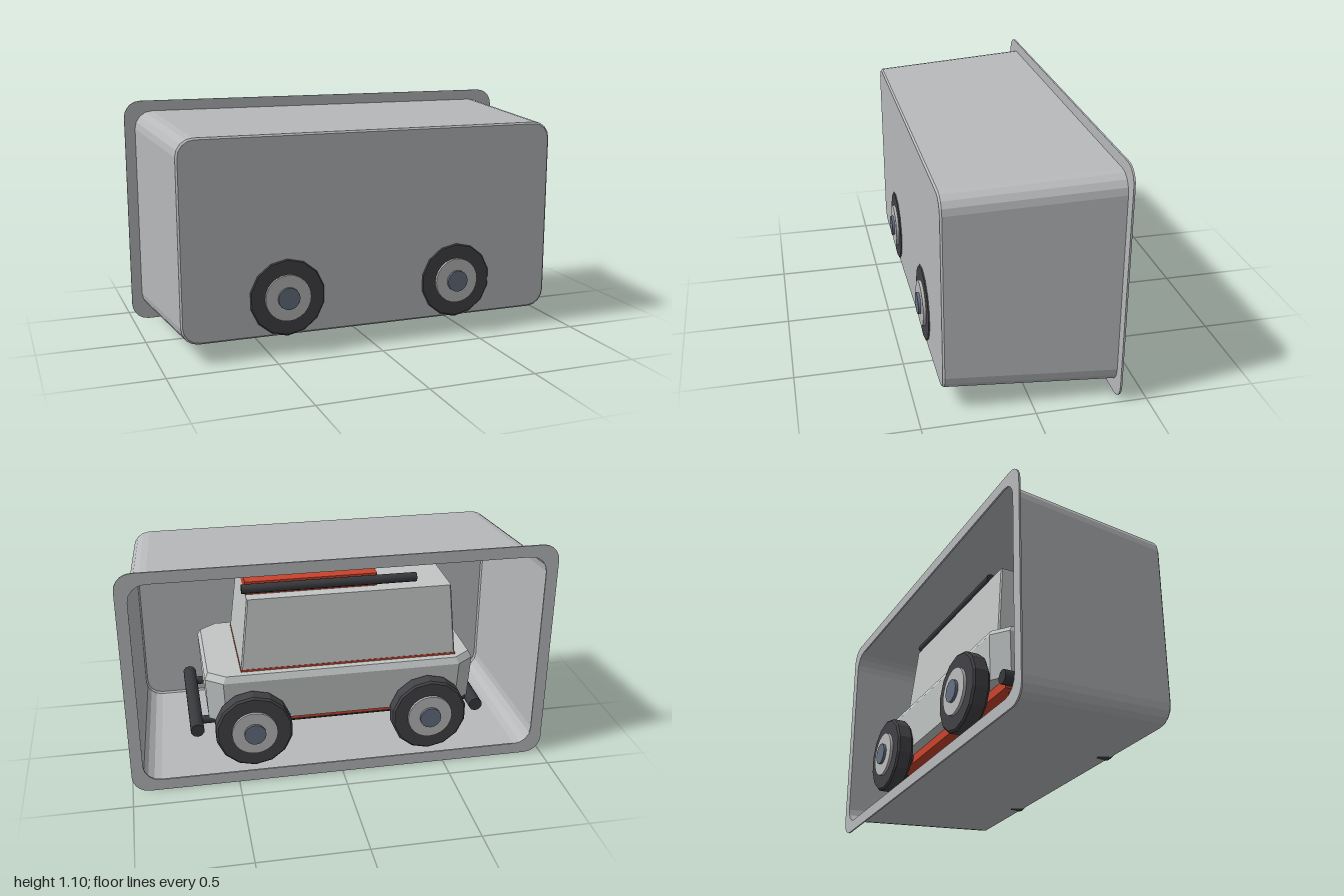
import * as THREE from 'three';

const mat = (name, color, extra = {}) => {
  const m = new THREE.MeshStandardMaterial({ color, ...extra });
  m.name = name;
  return m;
};

// Rounded rectangle ring, counter-clockwise; one segment gives chamfered corners
function ring(cx, cy, hx, hy, rx, ry, seg, z) {
  const pts = [];
  [[1, 1], [-1, 1], [-1, -1], [1, -1]].forEach(([sx, sy], q) => {
    for (let i = 0; i <= seg; i++) {
      const a = (q + i / seg) * Math.PI / 2;
      pts.push(new THREE.Vector3(cx + sx * (hx - rx) + rx * Math.cos(a),
        cy + sy * (hy - ry) + ry * Math.sin(a), z));
    }
  });
  return pts;
}

// Faceted skin through rings of equal size, with optional flat ends
function loft(rings, capStart, capEnd) {
  const pos = [];
  const tri = (...v) => v.forEach(p => pos.push(p.x, p.y, p.z));
  const n = rings[0].length;
  for (let k = 0; k < rings.length - 1; k++) {
    for (let j = 0; j < n; j++) {
      const a = rings[k][j], b = rings[k][(j + 1) % n];
      const c = rings[k + 1][(j + 1) % n], d = rings[k + 1][j];
      tri(a, b, c);
      tri(a, c, d);
    }
  }
  const first = rings[0], last = rings[rings.length - 1];
  for (let j = 1; j < n - 1; j++) {
    if (capStart) tri(first[0], first[j + 1], first[j]);
    if (capEnd) tri(last[0], last[j], last[j + 1]);
  }
  const g = new THREE.BufferGeometry();
  g.setAttribute('position', new THREE.Float32BufferAttribute(pos, 3));
  g.computeVertexNormals();
  return g;
}

export function createModel() {
  const tray = mat('tray grey', 0xb6b8ba, { side: THREE.DoubleSide });
  const paint = mat('body pale grey', 0xc2c6c5);
  const silver = mat('hub silver', 0xbababa);
  const steel = mat('cap blue grey', 0x667080);
  const rubber = mat('tyre black', 0x424146);
  const trim = mat('trim black', 0x38393d);
  const red = mat('red', 0xc8432c);

  const model = new THREE.Group();
  model.name = 'carInTray';
  const car = new THREE.Group();
  car.name = 'car';
  model.add(car);

  const add = (parent, name, geo, material, x = 0, y = 0, z = 0) => {
    const m = new THREE.Mesh(geo, material);
    m.name = name;
    m.position.set(x, y, z);
    parent.add(m);
    return m;
  };

  // Tapered tray, open at the back
  add(model, 'trayShell', loft([
    ring(0, 0.55, 0.95, 0.5, 0.085, 0.085, 4, -0.38),
    ring(0, 0.55, 0.908, 0.458, 0.08, 0.08, 4, 0.378),
    ring(0, 0.55, 0.9, 0.45, 0.075, 0.075, 4, 0.386),
  ], false, true), tray);

  // Flat flange around the opening
  const rim = new THREE.Shape(ring(0, 0.55, 1, 0.55, 0.08, 0.08, 5, 0).map(p => new THREE.Vector2(p.x, p.y)));
  rim.holes.push(new THREE.Path(ring(0, 0.55, 0.945, 0.495, 0.08, 0.08, 4, 0)
    .map(p => new THREE.Vector2(p.x, p.y)).reverse()));
  add(model, 'trayFlange', new THREE.ExtrudeGeometry(rim, { depth: 0.008, bevelEnabled: false }),
    tray, 0, 0, -0.384);

  // Lower body with chamfered corners and a bevelled shoulder
  const upright = rings => loft(rings, true, true).rotateX(-Math.PI / 2);
  add(car, 'lowerBody', upright([
    ring(-0.015, 0, 0.635, 0.3, 0.08, 0.06, 1, 0.28),
    ring(-0.015, 0, 0.645, 0.31, 0.08, 0.06, 1, 0.49),
    ring(-0.015, 0, 0.63, 0.295, 0.08, 0.06, 1, 0.52),
  ]), paint);

  // Cabin, narrowing towards the roof
  add(car, 'cabin', upright([
    ring(-0.055, 0, 0.515, 0.26, 0.006, 0.006, 1, 0.528),
    ring(-0.062, 0, 0.482, 0.23, 0.006, 0.006, 1, 0.87),
  ]), paint);
  add(car, 'cabinSeam', new THREE.BoxGeometry(1.034, 0.012, 0.524), red, -0.055, 0.524, 0);
  add(car, 'roofPanel', new THREE.BoxGeometry(0.62, 0.065, 0.34), red, 0.11, 0.9, 0);
  add(car, 'floorPan', new THREE.BoxGeometry(1.2, 0.05, 0.5), red, -0.015, 0.262, 0);

  // Bars: roof rails, under-floor rails and bumpers
  const bar = (name, axis, length, r, x, y, z) => {
    const g = new THREE.CylinderGeometry(r, r, length, 10);
    if (axis === 'x') g.rotateZ(Math.PI / 2); else g.rotateX(Math.PI / 2);
    add(car, name, g, trim, x, y, z);
  };
  for (const s of [-1, 1]) {
    bar('roofRail', 'x', 0.82, 0.022, 0.03, 0.912, s * 0.2);
    bar('underRail', 'x', 1.0, 0.03, 0.03, 0.21, s * 0.16);
    bar('bumperBar', 'z', 0.6, 0.033, s * 0.68, 0.25, 0);
    bar('axle', 'z', 0.64, 0.03, s * 0.42, 0.268, 0);
    for (const t of [-1, 1]) bar('bumperBracket', 'x', 0.12, 0.02, s * 0.63, 0.25, t * 0.2);
  }

  // Wheels: faceted tyre, hub disc and centre cap
  const tyre = new THREE.LatheGeometry([
    [0, -0.043], [0.16, -0.043], [0.182, -0.026], [0.182, 0.034], [0.173, 0.043], [0, 0.043],
  ].map(([r, y]) => new THREE.Vector2(r, y)), 14).toNonIndexed();
  tyre.computeVertexNormals();
  const hub = new THREE.CylinderGeometry(0.107, 0.107, 0.04, 24);
  const cap = new THREE.CylinderGeometry(0.051, 0.051, 0.04, 16);
  for (const x of [-0.42, 0.42]) {
    for (const s of [-1, 1]) {
      const wheel = new THREE.Group();
      wheel.name = 'wheel';
      wheel.position.set(x, 0.268, s * 0.348);
      wheel.rotation.x = s * Math.PI / 2;
      add(wheel, 'tyre', tyre, rubber);
      add(wheel, 'hub', hub, silver, 0, 0.036, 0);
      add(wheel, 'hubCap', cap, steel, 0, 0.049, 0);
      car.add(wheel);
    }
  }
  return model;
}
